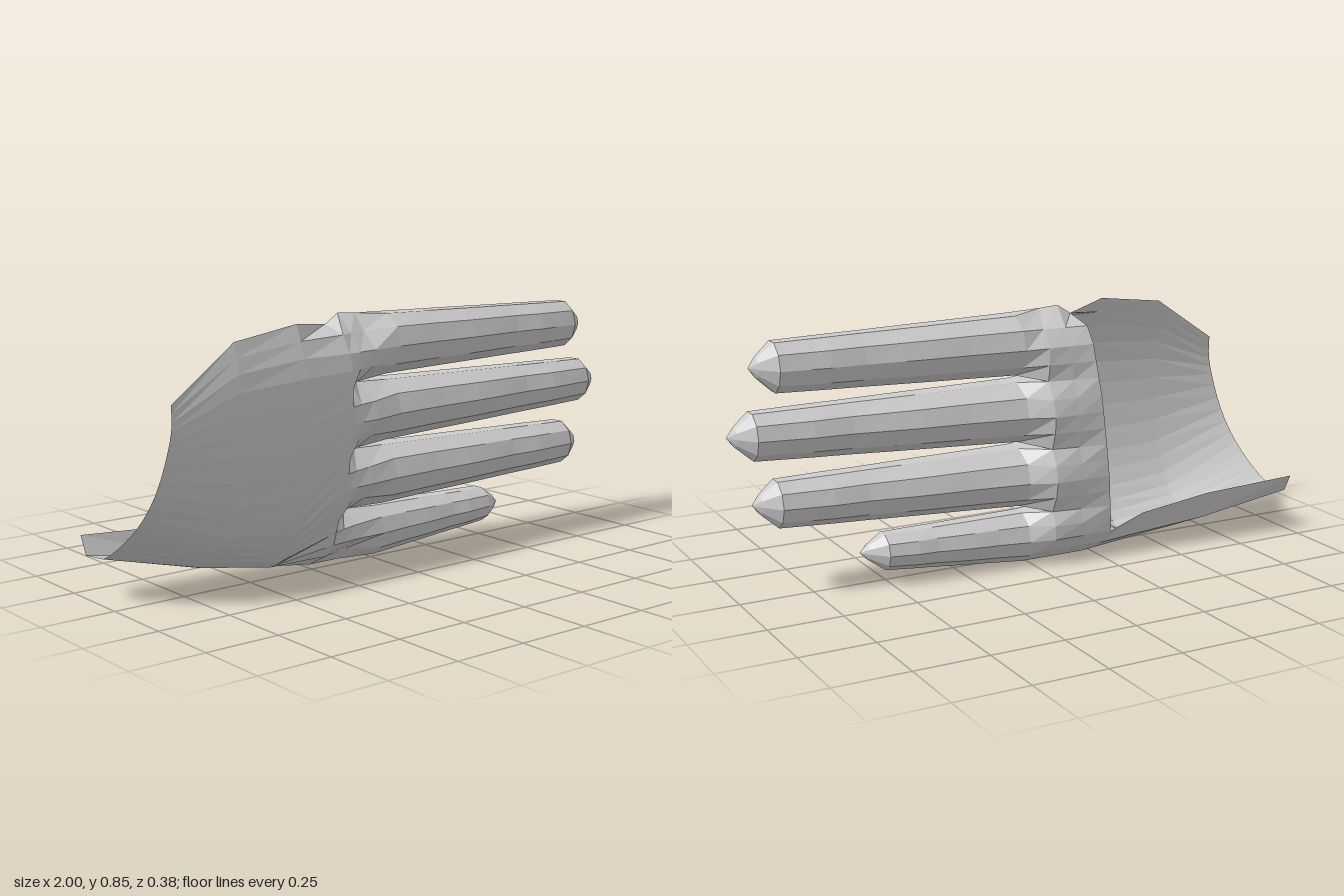
import * as THREE from 'three';

const V = (x, y, z) => new THREE.Vector3(x, y, z);
const lerp = THREE.MathUtils.lerp;

// Piecewise linear lookup in [key, value] pairs
function lookup(table, k) {
  for (let i = 1; i < table.length; i++) {
    const [k0, v0] = table[i - 1], [k1, v1] = table[i];
    if (k <= k1) return lerp(v0, v1, (k - k0) / (k1 - k0));
  }
  return table[table.length - 1][1];
}

// Skin a list of cross-sections, leaving out collapsed triangles
function loft(name, rows, closed) {
  const pos = [];
  const tri = (a, b, c) => {
    const area = b.clone().sub(a).cross(c.clone().sub(a)).length();
    if (area > 1e-7) for (const p of [a, b, c]) pos.push(p.x, p.y, p.z);
  };
  for (let r = 0; r + 1 < rows.length; r++) {
    const n = rows[r].length;
    for (let i = 0; i < (closed ? n : n - 1); i++) {
      const j = (i + 1) % n, p = rows[r], q = rows[r + 1];
      tri(p[i], q[i], q[j]);
      tri(p[i], q[j], p[j]);
    }
  }
  const geo = new THREE.BufferGeometry();
  geo.setAttribute('position', new THREE.Float32BufferAttribute(pos, 3));
  geo.computeVertexNormals();
  const mat = new THREE.MeshStandardMaterial({ color: 0xcccccc, flatShading: true, side: THREE.DoubleSide });
  const mesh = new THREE.Mesh(geo, mat);
  mesh.name = name;
  return mesh;
}

// Hand thickness by height: front and back surfaces at the knuckles
const frontZ = [[0, -0.05], [0.04, 0.03], [0.08, 0.075], [0.17, 0.105], [0.27, 0.15], [0.46, 0.18],
  [0.56, 0.19], [0.72, 0.18], [0.8, 0.13], [0.85, 0.04]];
const backZ = [[0, -0.05], [0.03, -0.115], [0.1, -0.158], [0.3, -0.165], [0.55, -0.145], [0.75, -0.1],
  [0.83, -0.04], [0.85, 0.04]];

// Heights of the gaps between fingers; each finger spans four strips
const gaps = [0, 0.185, 0.4, 0.625, 0.85];
const heights = [];
for (let j = 0; j <= 16; j++) {
  const f = Math.min(3, Math.floor(j / 4));
  heights.push(lerp(gaps[f], gaps[f + 1], (j - 4 * f) / 4));
}
const pinch = j => (j === 0 || j === 16 ? 0 : [1, 0.25, 0, 0.25][j % 4]);

// Knuckle rows: k = 0 smooth edge, 2 = fully split into four lobes
const topY = [0.82, 0.852, 0.847];
function knuckleFront(k) {
  return heights.map((y, j) => V([-0.22, -0.17, -0.1][k] - 0.015 * pinch(j) * k / 2,
    j === 16 ? topY[k] : y,
    lookup(frontZ, y) - 0.05 * k * pinch(j) - (j > 0 && j < 16 ? 0.008 * k : 0)));
}
function knuckleBack(k) {
  const front = knuckleFront(k);
  return heights.map((y, j) => {
    if (j === 0 || j === 16) return front[j];
    const edge = j === 1 ? -0.25 : lerp(-0.28, -0.22, y / 0.85);
    return V(lerp(edge, -0.06, k / 2), y, lookup(backZ, y) + 0.016 * k * pinch(j));
  });
}

// Open back-of-hand sections, from the curled lower edge up to the upper edge
const wrist = [[-1, 0.2, -0.195], [-1, 0.14, -0.165], [-0.99, 0.145, -0.08], [-0.97, 0.2, 0], [-0.95, 0.28, 0.08],
  [-0.93, 0.38, 0.14], [-0.91, 0.5, 0.175], [-0.9, 0.58, 0.187], [-0.9, 0.65, 0.187]];
const middleHand = [[0.18, -0.178], [0.085, -0.15], [0.058, -0.08], [0.09, 0], [0.16, 0.075],
  [0.3, 0.14], [0.5, 0.178], [0.68, 0.182], [0.81, 0.15]].map(([y, z]) => [-0.65, y, z]);
const upperHand = [[0.14, -0.158], [0.06, -0.13], [0.022, -0.06], [0.05, 0.02], [0.13, 0.085],
  [0.28, 0.148], [0.5, 0.185], [0.7, 0.182], [0.843, 0.13]].map(([y, z]) => [-0.4, y, z]);

function shellRow(points) {
  const curve = new THREE.CatmullRomCurve3(points.map(p => V(...p)));
  const row = [curve.getPoint(0), curve.getPoint(0.125)];
  for (let j = 0; j <= 16; j++) row.push(curve.getPoint(0.25 + 0.75 * j / 16));
  return row;
}

// Finger sizes: heights and depths as [base, shoulder near tip]
const fingers = [
  { name: 'littleFinger', tip: 0.59, y: [0.09, 0.107], h: [0.085, 0.06], z: [-0.035, -0.02], d: [0.088, 0.065] },
  { name: 'ringFinger', tip: 0.93, y: [0.293, 0.302], h: [0.1, 0.076], z: [0, 0.035], d: [0.122, 0.075] },
  { name: 'middleFinger', tip: 1, y: [0.515, 0.527], h: [0.102, 0.076], z: [0.015, 0.047], d: [0.128, 0.075] },
  { name: 'indexFinger', tip: 0.92, y: [0.738, 0.74], h: [0.1, 0.08], z: [0.025, 0.05], d: [0.115, 0.075] },
];

// Ten-sided finger section; the order matches the lobes at the knuckles
function fingerRing(x, y, z, h, d) {
  const ring = [];
  for (let i = 0; i < 10; i++) {
    const a = (i - 2) * Math.PI / 5 + (i > 4 ? Math.PI / 10 * (i === 5 || i === 9 ? 0 : 0.1) : 0);
    ring.push(V(x, y + h * 1.05 * Math.sin(a), z + d * Math.cos(a)));
  }
  return ring;
}

function makeFinger(f, index, front, back) {
  const lo = 4 * index, hi = lo + 5;
  const rows = [[...front.slice(lo, hi), ...back.slice(lo, hi).reverse()]];
  const shoulder = f.tip - 0.075;
  // Fraction along the finger and a slight swelling at each joint
  for (const [t, swell] of [[0, 1], [0.22, 0.97], [0.4, 1.02], [0.5, 1.01], [0.66, 0.96], [0.8, 1.06], [0.88, 1.03], [1, 1]]) {
    const x = lerp(0.02, shoulder, t);
    rows.push(fingerRing(x, lerp(...f.y, t), lerp(...f.z, t), lerp(...f.h, t), lerp(...f.d, t) * swell));
  }
  // Tapered fingertip
  for (const [dx, s] of [[0.05, 0.42], [0.075, 0]]) {
    rows.push(fingerRing(shoulder + dx, f.y[1], f.z[1] + 0.015 * dx / 0.075, f.h[1] * s, f.d[1] * s));
  }
  return loft(f.name, rows, true);
}

export function createModel() {
  const model = new THREE.Group();
  model.name = 'halfGlove';

  // Back of the hand, open on the palm side
  const edgeFront = knuckleFront(0), edgeBack = knuckleBack(0);
  const rows = [wrist, middleHand, upperHand].map(shellRow);
  rows.push([edgeBack[2], edgeBack[1], ...edgeFront]);
  model.add(loft('backOfHand', rows, false));

  // Closed band around the knuckles
  const band = [0, 1, 2].map(k => [...knuckleFront(k), ...knuckleBack(k).reverse()]);
  model.add(loft('knuckleBand', band, true));

  // Four fingers
  const front = knuckleFront(2), back = knuckleBack(2);
  fingers.forEach((f, i) => model.add(makeFinger(f, i, front, back)));
  return model;
}
